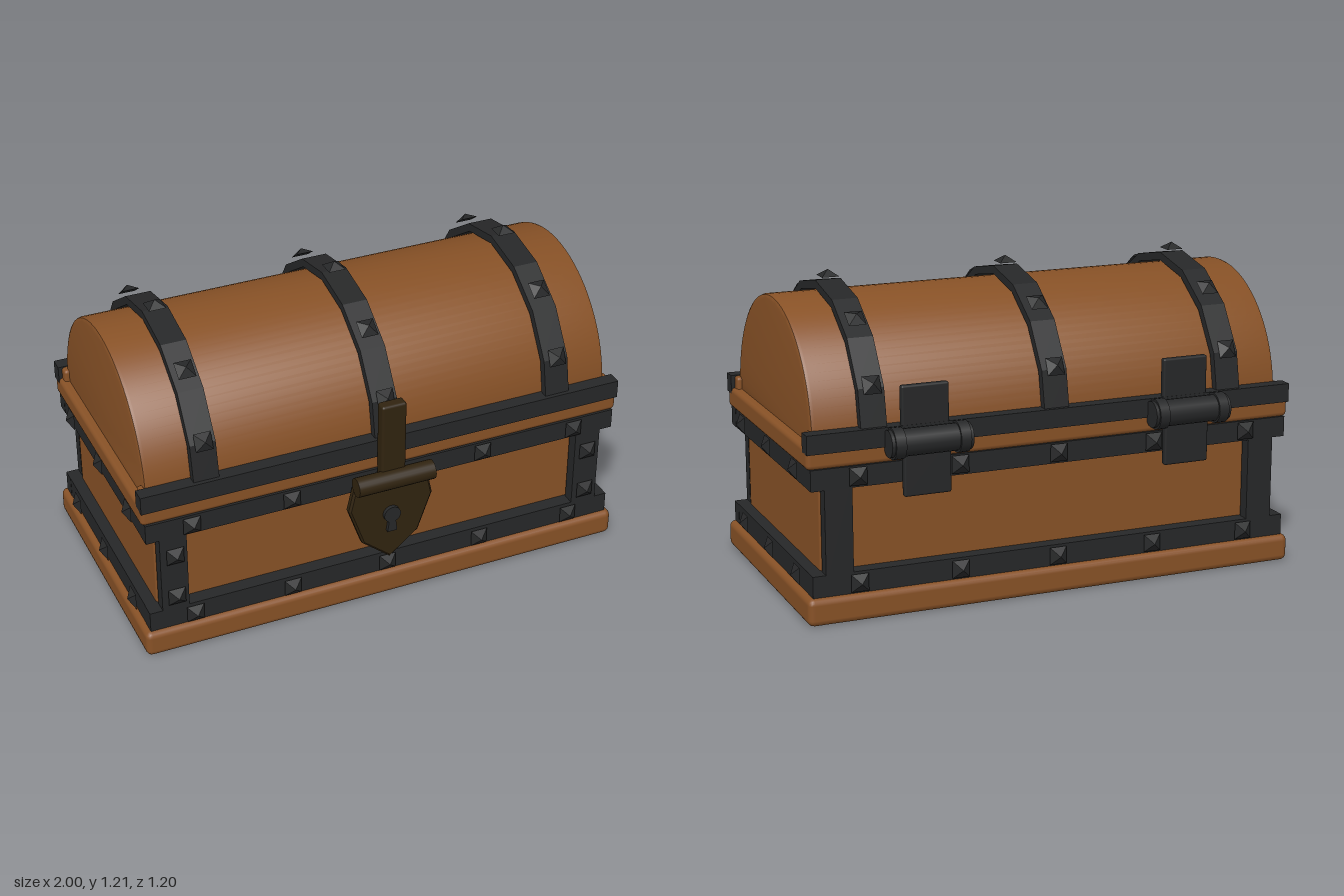
import * as THREE from 'three';
import { toCreasedNormals } from 'three/addons/utils/BufferGeometryUtils.js';
import { RoundedBoxGeometry } from 'three/addons/geometries/RoundedBoxGeometry.js';

const material = (name, color) => {
  const m = new THREE.MeshStandardMaterial({ color });
  m.name = name;
  return m;
};

export function createModel() {
  const chest = new THREE.Group();
  chest.name = 'treasureChest';
  const wood = material('wood', 0x875126);
  const iron = material('darkIron', 0x262728);
  const brass = material('agedBrass', 0x30230f);

  const add = (name, geometry, mat, x = 0, y = 0, z = 0) => {
    const mesh = new THREE.Mesh(geometry, mat);
    mesh.name = name;
    mesh.position.set(x, y, z);
    chest.add(mesh);
    return mesh;
  };
  // Box given by its lowest and highest corners, optionally rounded
  const box = (name, mat, [x0, y0, z0], [x1, y1, z1], r = 0) => {
    const size = [x1 - x0, y1 - y0, z1 - z0];
    const geo = r ? new RoundedBoxGeometry(...size, 2, r) : new THREE.BoxGeometry(...size);
    return add(name, geo, mat, (x0 + x1) / 2, (y0 + y1) / 2, (z0 + z1) / 2);
  };
  // Cylinder lying along x
  const bar = (name, mat, r, length, x, y, z, sides = 20) =>
    add(name, new THREE.CylinderGeometry(r, r, length, sides).rotateZ(Math.PI / 2), mat, x, y, z);

  // Square pyramid stud whose point faces along dir
  const studGeo = toCreasedNormals(
    new THREE.ConeGeometry(0.034 * Math.SQRT2, 0.025, 4).rotateY(Math.PI / 4).translate(0, 0.0125, 0), 0.1);
  const up = new THREE.Vector3(0, 1, 0);
  const stud = (x, y, z, dir) =>
    add('stud', studGeo, iron, x, y, z).quaternion.setFromUnitVectors(up, new THREE.Vector3(...dir));

  // Wooden base, body and lid rim
  box('base', wood, [-0.99, 0, -0.527], [0.99, 0.105, 0.527], 0.024);
  box('body', wood, [-0.92, 0.08, -0.45], [0.92, 0.6, 0.45], 0.012);
  box('lidRim', wood, [-0.98, 0.585, -0.505], [0.98, 0.668, 0.505], 0.018);

  // Half-round lid
  const arch = new THREE.Shape();
  arch.absarc(0, 0, 0.446, 0, Math.PI, false);
  const lidGeo = new THREE.ExtrudeGeometry(arch, {
    depth: 1.862, curveSegments: 22, bevelThickness: 0.015, bevelSize: 0.014, bevelSegments: 2,
  }).translate(0, 0, -0.931).rotateY(Math.PI / 2);
  add('lid', toCreasedNormals(lidGeo, 0.6), wood, 0, 0.665, 0);

  // Iron bands around the body, with studs
  for (const [y0, y1, ys] of [[0.105, 0.187, 0.146], [0.507, 0.587, 0.55]]) {
    for (const s of [-1, 1]) {
      box('bodyBand', iron, [-0.967, y0, s * 0.478 - 0.028], [0.967, y1, s * 0.478 + 0.028]);
      box('sideBand', iron, [s * 0.938 - 0.028, y0, -0.46], [s * 0.938 + 0.028, y1, 0.46]);
      for (const x of [-0.79, -0.395, 0, 0.395, 0.79]) stud(x, ys, s * 0.516, [0, 0, s]);
      for (const z of [-0.334, 0, 0.334]) stud(s * 0.974, ys, z, [s, 0, 0]);
    }
  }

  for (const sx of [-1, 1]) {
    // Corner posts, studded on the front
    for (const sz of [-1, 1])
      box('cornerPost', iron, [sx * 0.863 - 0.053, 0.15, sz * 0.482 - 0.024], [sx * 0.863 + 0.053, 0.55, sz * 0.482 + 0.024]);
    for (const y of [0.246, 0.43]) stud(sx * 0.86, y, 0.516, [0, 0, 1]);
  }

  // Rails along the foot of the lid
  for (const s of [-1, 1]) {
    box('lidRail', wood, [-0.965, 0.64, s * 0.445 - 0.025], [0.965, 0.715, s * 0.445 + 0.025], 0.012);
    box('lidRailIron', iron, [-0.98, 0.645, s * 0.483 - 0.028], [0.98, 0.718, s * 0.483 + 0.028]);
  }

  // Faceted iron straps over the lid
  const strap = new THREE.Shape();
  const arc = (r, i) => [r * Math.cos(i * Math.PI / 8), r * Math.sin(i * Math.PI / 8)];
  strap.moveTo(...arc(0.505, 0));
  for (let i = 1; i <= 8; i++) strap.lineTo(...arc(0.505, i));
  for (let i = 8; i >= 0; i--) strap.lineTo(...arc(0.473, i));
  const strapGeo = new THREE.ExtrudeGeometry(strap, { depth: 0.1, bevelEnabled: false })
    .translate(0, 0, -0.05).rotateY(Math.PI / 2);
  for (const x of [-0.72, 0, 0.72]) {
    add('lidStrap', strapGeo, iron, x, 0.665, 0);
    for (const deg of [-66.5, -36.5, 0, 36.5, 66.5]) {
      const a = THREE.MathUtils.degToRad(deg);
      const dir = [0, Math.cos(a), Math.sin(a)];
      stud(x, 0.665 + 0.518 * dir[1], 0.518 * dir[2], dir);
    }
  }

  // Hasp, its barrel and the shield-shaped lock plate
  box('hasp', brass, [-0.05, 0.56, 0.51], [0.05, 0.888, 0.558], 0.01);
  bar('haspBarrel', brass, 0.038, 0.315, 0, 0.567, 0.564);
  const shield = new THREE.Shape([
    [-0.145, 0.53], [-0.165, 0.44], [-0.11, 0.285], [0, 0.195], [0.11, 0.285], [0.165, 0.44], [0.145, 0.53],
  ].map(([x, y]) => new THREE.Vector2(x, y)));
  add('lockPlate', new THREE.ExtrudeGeometry(shield, {
    depth: 0.019, bevelThickness: 0.008, bevelSize: 0.008, bevelSegments: 1,
  }), brass, 0, 0, 0.513);

  // Keyhole
  const keyhole = new THREE.Shape();
  keyhole.moveTo(0.02, 0.318);
  keyhole.lineTo(0.014, 0.365);
  keyhole.absarc(0, 0.393, 0.034, -1.1, Math.PI + 1.1, false);
  keyhole.lineTo(-0.014, 0.365);
  keyhole.lineTo(-0.02, 0.318);
  add('keyhole', new THREE.ExtrudeGeometry(keyhole, { depth: 0.015, bevelEnabled: false }), iron, 0, 0, 0.54);

  // Back hinges
  for (const x of [-0.527, 0.527]) {
    box('upperHingeLeaf', iron, [x - 0.092, 0.66, -0.51], [x + 0.092, 0.865, -0.482], 0.008);
    box('lowerHingeLeaf', iron, [x - 0.092, 0.453, -0.53], [x + 0.092, 0.66, -0.503], 0.008);
    bar('hingeBarrel', iron, 0.051, 0.315, x, 0.664, -0.54);
    for (const s of [-1, 1]) bar('hingeCollar', iron, 0.059, 0.04, x + s * 0.125, 0.664, -0.54);
  }

  return chest;
}
